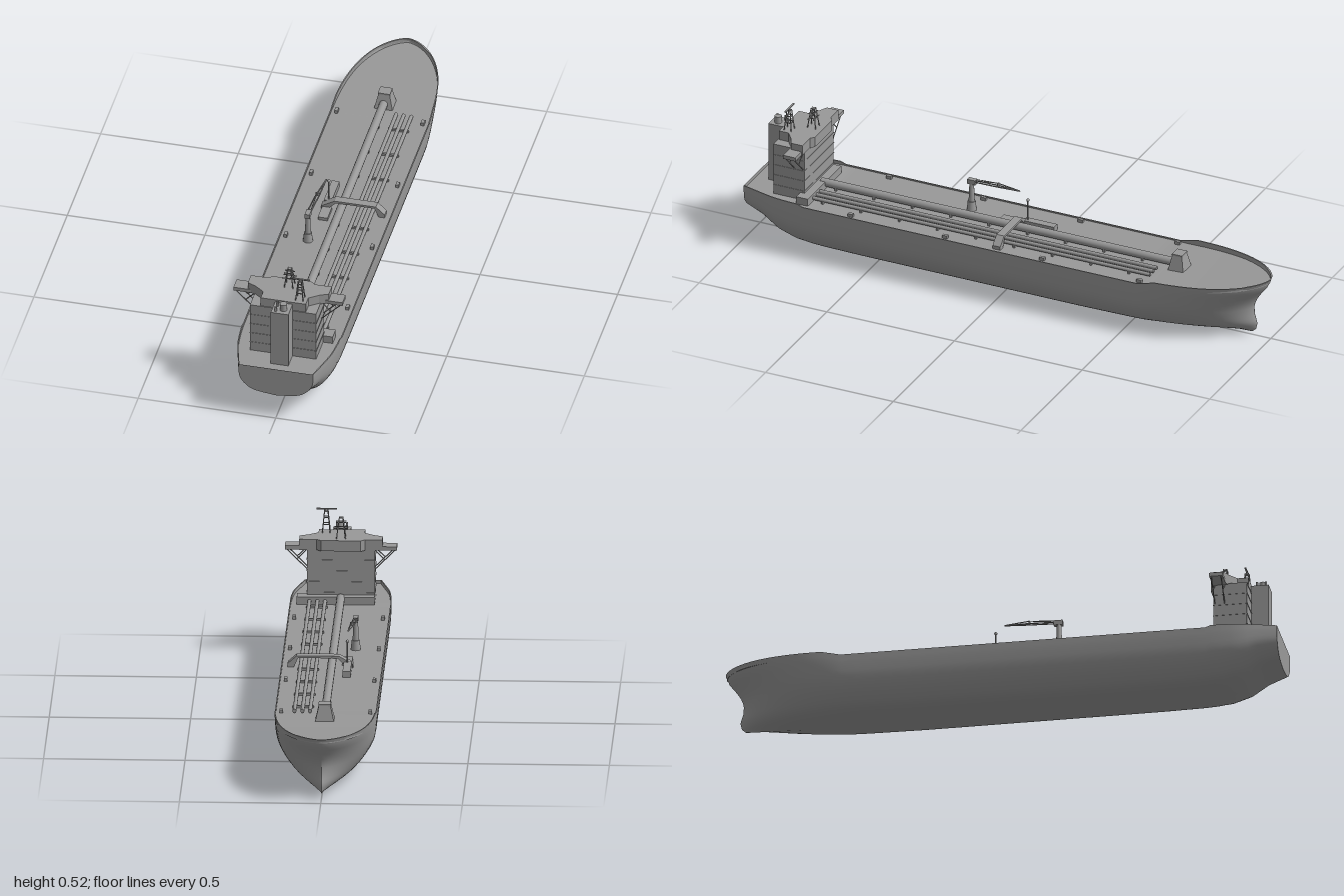
import * as THREE from 'three';
import { toCreasedNormals } from 'three/addons/utils/BufferGeometryUtils.js';

const grey = new THREE.MeshStandardMaterial({ color: 0x999999, side: THREE.DoubleSide });
grey.name = 'hull grey';

const mix = THREE.MathUtils.lerp;

// Piecewise linear lookup in [key, value] pairs with rising keys
function lookup(table, k) {
  if (k <= table[0][0]) return table[0][1];
  for (let i = 1; i < table.length; i++) {
    const [k0, v0] = table[i - 1], [k1, v1] = table[i];
    if (k <= k1) return mix(v0, v1, (k - k0) / (k1 - k0));
  }
  return table[table.length - 1][1];
}

function add(parent, name, geometry, x = 0, y = 0, z = 0) {
  const mesh = new THREE.Mesh(geometry, grey);
  mesh.name = name;
  mesh.position.set(x, y, z);
  parent.add(mesh);
  return mesh;
}

// Box given by its limits on each axis
function block(parent, name, x0, x1, y0, y1, z0, z1) {
  return add(parent, name, new THREE.BoxGeometry(x1 - x0, y1 - y0, z1 - z0),
    (x0 + x1) / 2, (y0 + y1) / 2, (z0 + z1) / 2);
}

// Round bar between two points
function beam(parent, name, a, b, r, sides = 6, r2 = r) {
  const p = new THREE.Vector3(...a), q = new THREE.Vector3(...b), d = q.clone().sub(p);
  const mesh = add(parent, name, new THREE.CylinderGeometry(r2, r, d.length(), sides));
  mesh.position.copy(p).addScaledVector(d, 0.5);
  mesh.quaternion.setFromUnitVectors(new THREE.Vector3(0, 1, 0), d.normalize());
  return mesh;
}

// Horizontal outline [x, z] raised from y0 to y1
function slab(parent, name, outline, y0, y1) {
  const shape = new THREE.Shape(outline.map(([x, z]) => new THREE.Vector2(x, -z)));
  const geo = new THREE.ExtrudeGeometry(shape, { depth: y1 - y0, bevelEnabled: false });
  return add(parent, name, geo.rotateX(-Math.PI / 2), 0, y0, 0);
}

// Skin over equal-length cross-sections
function loft(sections) {
  const n = sections[0].length, pos = sections.flat(2), index = [];
  for (let i = 0; i < sections.length - 1; i++)
    for (let j = 0; j < n - 1; j++) {
      const a = i * n + j, b = a + n;
      index.push(a, b, a + 1, b, b + 1, a + 1);
    }
  const geo = new THREE.BufferGeometry();
  geo.setAttribute('position', new THREE.Float32BufferAttribute(pos, 3));
  geo.setIndex(index);
  geo.computeVertexNormals();
  return geo;
}

// Hull lines
const keel = [[-1, 0.012], [-0.7, 0.005], [-0.3, 0], [0.55, 0.002], [0.72, 0.005], [0.8, 0.012],
  [0.87, 0.035], [0.93, 0.075], [1, 0.1]];
const rim = [[-1, 0.235], [-0.8, 0.227], [-0.63, 0.222], [-0.56, 0.205], [0.75, 0.205], [0.77, 0.213], [1, 0.213]];
const deckLine = [[-1, 0.22], [-0.75, 0.206], [-0.6, 0.2], [1, 0.2]];
const beamLine = [[0.74, 0.18], [0.82, 0.177], [0.88, 0.169], [1, 0.136]];
const stem = [[0.01, -0.925], [0.025, -0.942], [0.05, -0.948], [0.085, -0.937], [0.12, -0.935],
  [0.155, -0.95], [0.2, -0.985], [0.235, -1]];
const section = new THREE.SplineCurve([[0, 0], [0.55, 0.09], [0.8, 0.26], [0.96, 0.52], [1, 0.85], [1, 1]]
  .map(p => new THREE.Vector2(...p))).getPoints(20);

// Point on the hull at station s (1 stern, -1 bow) and section point p
function hullPoint(s, p, side) {
  const low = lookup(keel, s), py = Math.min(1, Math.max(0, p.y));
  const y = mix(low, lookup(rim, s), py);
  let x = Math.min(p.x, 1) * lookup(beamLine, s), z = s;
  if (s < -0.5) {
    const q = (-0.5 - s) / 0.5;
    z = -0.5 + (lookup(stem, y) + 0.5) * q;
    x *= Math.pow(Math.max(0, 1 - Math.pow(q, mix(1.8, 3, py))), mix(0.85, 0.6, py));
  }
  return [side * x, y, z];
}

function buildHull(ship) {
  const hull = new THREE.Group();
  hull.name = 'hull';
  ship.add(hull);
  const stations = [1, 0.965, 0.93, 0.9, 0.87, 0.84, 0.8, 0.77, 0.75, 0.7, 0.55, 0.3, 0, -0.3, -0.5, -0.56, -0.595, -0.63];
  for (let i = 1; i <= 18; i++) stations.push(-0.63 - 0.37 * Math.sin(i / 18 * Math.PI / 2));
  const ring = s => [...section.slice(1).reverse().map(p => hullPoint(s, p, -1)),
    ...section.map(p => hullPoint(s, p, 1))];
  add(hull, 'hull shell', loft(stations.map(ring)));

  // Deck with the low bulwark around it
  const top = section[section.length - 1];
  const deck = stations.map(s => {
    const [x, y, z] = hullPoint(s, top, 1), xi = Math.max(0, x - 0.004), d = lookup(deckLine, s);
    const zi = s < -0.95 ? z + 0.004 : z;
    return [[x, y, z], [xi, y, zi], [xi, d, zi], [-xi, d, zi], [-xi, y, zi], [-x, y, z]];
  });
  add(hull, 'deck and bulwark', toCreasedNormals(loft(deck), 0.5));

  // Flat transom
  const edge = ring(1).map(([x, y]) => new THREE.Vector2(x, y));
  add(hull, 'transom', new THREE.ShapeGeometry(new THREE.Shape(edge)), 0, 0, 1);
}

// Tapered four-legged lattice mast
function mast(parent, x, z, y0, y1, base, top, rungs) {
  const g = new THREE.Group();
  g.name = 'lattice mast';
  parent.add(g);
  for (const i of [-1, 1]) for (const k of [-1, 1])
    beam(g, 'mast leg', [x + i * base, y0, z + k * base], [x + i * top, y1, z + k * top], 0.002);
  block(g, 'mast head', x - top, x + top, y1 - 0.004, y1, z - top, z + top);
  for (const [y, w] of rungs) {
    const h = mix(base, top, (y - y0) / (y1 - y0));
    for (const k of [-1, 1]) {
      block(g, 'mast rung', x - w, x + w, y - 0.0015, y + 0.0015, z + k * h - 0.0015, z + k * h + 0.0015);
      block(g, 'mast cross rung', x + k * h - 0.0015, x + k * h + 0.0015, y - 0.0015, y + 0.0015, z - h, z + h);
    }
  }
}

function buildAccommodation(ship) {
  const g = new THREE.Group();
  g.name = 'accommodation';
  ship.add(g);
  block(g, 'tower', -0.12, 0.12, 0.2, 0.394, 0.77, 0.89);
  for (let y = 0.235; y < 0.38; y += 0.04)
    block(g, 'floor ledge', -0.1215, 0.1215, y, y + 0.002, 0.7685, 0.8915);
  block(g, 'forward deckhouse', -0.12, 0.155, 0.2, 0.228, 0.74, 0.785);
  block(g, 'engine casing', -0.03, 0.034, 0.2, 0.424, 0.88, 0.952);
  add(g, 'funnel', new THREE.CylinderGeometry(0.013, 0.013, 0.03, 16), 0.01, 0.435, 0.925);
  for (const z of [0.908, 0.94])
    add(g, 'exhaust pipe', new THREE.CylinderGeometry(0.004, 0.004, 0.022, 10), -0.015, 0.432, z);

  // Bridge, its wings and the struts below them
  const half = [[0.07, 0.752], [0.085, 0.765], [0.147, 0.765], [0.147, 0.81], [0.115, 0.825], [0.082, 0.85], [0.082, 0.888]];
  slab(g, 'wheelhouse', [...half, ...half.slice().reverse().map(([x, z]) => [-x, z])], 0.394, 0.433);
  block(g, 'bridge deck', -0.12, 0.12, 0.392, 0.398, 0.77, 0.891);
  block(g, 'bridge wings', -0.198, 0.198, 0.394, 0.408, 0.768, 0.816);
  for (const s of [-1, 1]) for (const z of [0.775, 0.81]) {
    beam(g, 'wing strut', [s * 0.12, 0.322, z], [s * 0.193, 0.395, z], 0.002);
    beam(g, 'wing brace', [s * 0.12, 0.393, z], [s * 0.155, 0.358, z], 0.002);
  }
  mast(g, 0, 0.792, 0.43, 0.508, 0.016, 0.006, [[0.47, 0.024], [0.491, 0.018]]);
  mast(g, 0.055, 0.86, 0.43, 0.512, 0.014, 0.006, [[0.463, 0.012], [0.488, 0.009]]);
  add(g, 'radar pivot', new THREE.CylinderGeometry(0.004, 0.004, 0.008, 8), 0.055, 0.514, 0.86);
  block(g, 'radar bar', 0.018, 0.09, 0.516, 0.52, 0.857, 0.863);
}

function buildDeckGear(ship) {
  const g = new THREE.Group();
  g.name = 'deck gear';
  ship.add(g);
  // Lengthwise cargo pipes on saddles
  beam(g, 'main pipe', [0, 0.22, -0.64], [0, 0.22, 0.76], 0.015, 16);
  for (const x of [0.055, 0.082, 0.11]) beam(g, 'cargo pipe', [x, 0.212, -0.58], [x, 0.212, 0.75], 0.007, 12);
  for (let z = -0.5; z < 0.72; z += 0.15) {
    block(g, 'cargo pipe saddle', 0.045, 0.12, 0.198, 0.208, z - 0.004, z + 0.004);
    block(g, 'main pipe saddle', -0.012, 0.012, 0.198, 0.212, z - 0.004, z + 0.004);
  }
  // Arched walkway across the pipes
  const arch = new THREE.Shape([[-0.075, 0.2], [-0.055, 0.2], [-0.02, 0.234], [0.12, 0.234], [0.135, 0.2], [0.157, 0.2],
    [0.157, 0.213], [0.125, 0.242], [-0.025, 0.242], [-0.075, 0.213]].map(p => new THREE.Vector2(...p)));
  add(g, 'crossing arch', new THREE.ExtrudeGeometry(arch, { depth: 0.03, bevelEnabled: false }), 0, 0, -0.015);
  block(g, 'manifold box', -0.07, -0.042, 0.198, 0.222, -0.13, -0.01);
  block(g, 'manifold tray', -0.07, -0.035, 0.198, 0.212, 0.01, 0.08);
  beam(g, 'davit post', [-0.055, 0.2, -0.022], [-0.055, 0.3, -0.022], 0.003);
  add(g, 'davit head', new THREE.SphereGeometry(0.006, 10, 8), -0.055, 0.3, -0.022);

  // Hose crane with a slender two-chord boom
  const crane = new THREE.Group();
  crane.name = 'crane';
  g.add(crane);
  beam(crane, 'crane pedestal', [-0.075, 0.198, 0.208], [-0.075, 0.235, 0.208], 0.018, 12, 0.014);
  beam(crane, 'crane column', [-0.075, 0.235, 0.208], [-0.075, 0.31, 0.208], 0.011, 12, 0.008);
  block(crane, 'crane head', -0.084, -0.066, 0.304, 0.322, 0.19, 0.222);
  for (const s of [-1, 1]) {
    beam(crane, 'boom chord', [-0.075 + s * 0.006, 0.315, 0.2], [-0.066 + s * 0.006, 0.322, 0.1], 0.0025);
    beam(crane, 'boom tip chord', [-0.066 + s * 0.006, 0.322, 0.1], [-0.056, 0.328, 0.01], 0.0025);
    beam(crane, 'boom stay', [-0.075 + s * 0.006, 0.32, 0.2], [-0.066, 0.334, 0.1], 0.0015);
  }
  beam(crane, 'boom top chord', [-0.066, 0.334, 0.1], [-0.056, 0.329, 0.01], 0.002);
  block(crane, 'boom cross brace', -0.073, -0.059, 0.32, 0.334, 0.098, 0.102);

  // Tapered deckhouse at the forward end of the pipes
  const house = new THREE.CylinderGeometry(0.6, 1, 1, 4, 1).rotateY(Math.PI / 4).scale(0.048, 0.06, 0.044);
  add(g, 'forward house', toCreasedNormals(house, 0.3), 0, 0.228, -0.642);
  block(g, 'forward house cap', -0.022, 0.022, 0.256, 0.262, -0.662, -0.622);

  // Mooring blocks near the deck edge
  for (const x of [-0.157, 0.157]) for (const z of [-0.56, -0.18, 0.2, 0.57])
    block(g, 'mooring block', x - 0.006, x + 0.006, 0.198, 0.212, z - 0.01, z + 0.01);
}

export function createModel() {
  const ship = new THREE.Group();
  ship.name = 'tanker ship';
  buildHull(ship);
  buildAccommodation(ship);
  buildDeckGear(ship);
  return ship;
}
